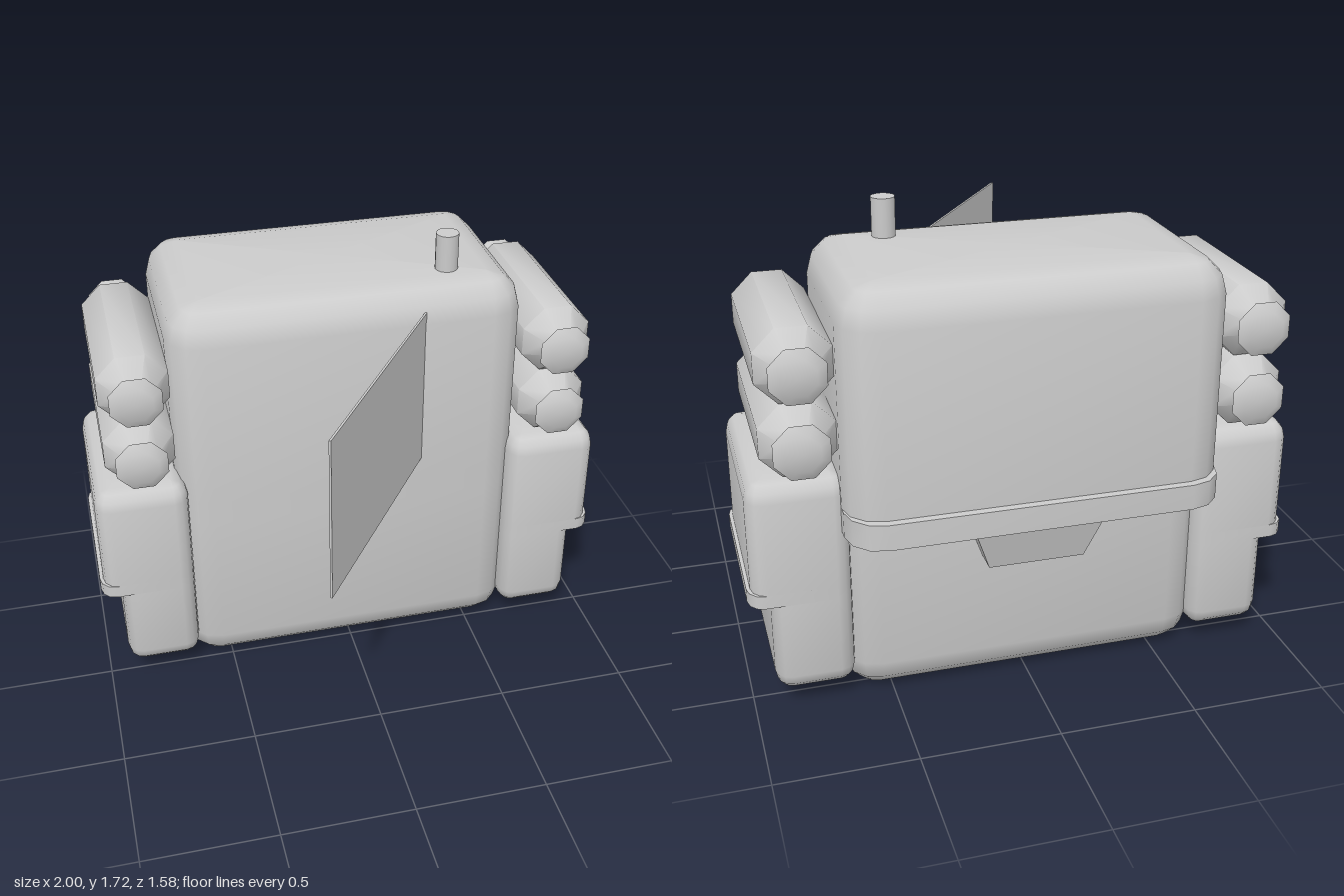
import * as THREE from 'three';
import { toCreasedNormals } from 'three/addons/utils/BufferGeometryUtils.js';

const material = new THREE.MeshStandardMaterial({ color: 0xcccccc });
const thinMaterial = new THREE.MeshStandardMaterial({ color: 0xcccccc, side: THREE.DoubleSide });

function addMesh(parent, name, geometry, mat = material) {
  const mesh = new THREE.Mesh(geometry, mat);
  mesh.name = name;
  parent.add(mesh);
  return mesh;
}

const HALF_WIDTH = 0.67, HEIGHT = 1.575, FRONT = 0.04, RADIUS = 0.13, STEPS = 3;

// One horizontal rounded-rectangle section of the bag
function section(y, back, inset) {
  const points = [];
  const r = Math.max(RADIUS - inset, 0.004);
  const x = HALF_WIDTH - inset - r;
  const z0 = back + inset + r, z1 = FRONT - inset - r;
  const corners = [[x, z1], [-x, z1], [-x, z0], [x, z0]];
  corners.forEach(([cx, cz], k) => {
    for (let i = 0; i <= STEPS; i++) {
      const a = (k + i / STEPS) * Math.PI / 2;
      points.push(new THREE.Vector3(cx + r * Math.cos(a), y, cz + r * Math.sin(a)));
    }
  });
  return points;
}

// Skin closed loops together and cap both ends
function loft(sections) {
  const n = sections[0].length, position = [], index = [];
  sections.flat().forEach(p => position.push(p.x, p.y, p.z));
  for (let s = 0; s < sections.length - 1; s++) {
    for (let i = 0; i < n; i++) {
      const a = s * n + i, b = s * n + (i + 1) % n;
      index.push(a, a + n, b, b, a + n, b + n);
    }
  }
  [0, sections.length - 1].forEach(s => {
    const c = position.length / 3;
    const centre = sections[s].reduce((sum, p) => sum.add(p), new THREE.Vector3()).divideScalar(n);
    position.push(centre.x, centre.y, centre.z);
    for (let i = 0; i < n; i++) {
      const a = s * n + i, b = s * n + (i + 1) % n;
      if (s === 0) index.push(c, a, b);
      else index.push(c, b, a);
    }
  });
  const geometry = new THREE.BufferGeometry();
  geometry.setAttribute('position', new THREE.Float32BufferAttribute(position, 3));
  geometry.setIndex(index);
  return toCreasedNormals(geometry, 0.75);
}

// Bag body: rounded base, overhanging flap with a raised rim, rounded top
function bagGeometry() {
  const lower = -0.61, flap = -0.76, rim = -0.79;
  const sections = [];
  const arc = i => {
    const a = i / STEPS * Math.PI / 2;
    return [RADIUS * (1 - Math.cos(a)), RADIUS * (1 - Math.sin(a))];
  };
  for (let i = 0; i <= STEPS; i++) {
    const [rise, inset] = arc(i);
    sections.push(section(rise, lower, inset));
  }
  [[0.69, lower], [0.69, rim], [0.785, rim], [0.785, flap]]
    .forEach(([y, back]) => sections.push(section(y, back, 0)));
  for (let i = STEPS; i >= 0; i--) {
    const [drop, inset] = arc(i);
    sections.push(section(HEIGHT - drop, flap, inset));
  }
  return loft(sections);
}

// Tapered closure tab under the flap
function tabGeometry() {
  const geometry = new THREE.BoxGeometry(1, 1, 1);
  const p = geometry.attributes.position;
  for (let i = 0; i < p.count; i++) {
    const top = p.getY(i) > 0, outer = p.getZ(i) < 0;
    p.setXYZ(i,
      Math.sign(p.getX(i)) * (top ? 0.24 : 0.173),
      top ? 0.7 : 0.515,
      outer ? (top ? -0.745 : -0.695) : -0.58);
  }
  geometry.computeVertexNormals();
  return geometry;
}

function createBag(name) {
  const bag = new THREE.Group();
  bag.name = name;
  addMesh(bag, 'bagBody', bagGeometry());
  addMesh(bag, 'closureTab', tabGeometry());
  return bag;
}

// Eight-sided roll with pinched, flared ends, lying along z
function rollGeometry() {
  const half = [[0, 0.428], [0.06, 0.428], [0.095, 0.405], [0.065, 0.377], [0.13, 0.3]];
  const k = 1 / Math.cos(Math.PI / 8);
  const profile = [
    ...half.map(([r, y]) => new THREE.Vector2(r * k, -y)),
    ...half.slice().reverse().map(([r, y]) => new THREE.Vector2(r * k, y)),
  ];
  const geometry = new THREE.LatheGeometry(profile, 8, Math.PI / 8);
  geometry.rotateX(Math.PI / 2);
  return toCreasedNormals(geometry, 0.87);
}

export function createModel() {
  const model = new THREE.Group();
  model.name = 'backpack';
  model.add(createBag('mainBag'));

  // Side pockets repeat the main bag, smaller and turned outward
  for (const side of [1, -1]) {
    const label = side > 0 ? 'left' : 'right';
    const pocket = createBag(label + 'Pocket');
    pocket.scale.set(0.52, 0.52, 0.44);
    pocket.rotation.y = -side * Math.PI / 2;
    pocket.position.set(side * 0.653, 0.075, -0.275);
    model.add(pocket);

    // Two stacked rolls above each pocket
    [['Upper', 1.305], ['Lower', 1.042]].forEach(([level, y]) => {
      addMesh(model, label + level + 'Roll', rollGeometry())
        .position.set(side * 0.8, y, -0.298);
    });
  }

  // Short tube on top
  addMesh(model, 'topTube', new THREE.CylinderGeometry(0.043, 0.043, 0.2, 16))
    .position.set(0.402, 1.615, -0.145);

  // Thin upright panel standing out from the front
  const panel = addMesh(model, 'panel', new THREE.BoxGeometry(0.93, 0.625, 0.008), thinMaterial);
  panel.position.set(0.008, 1.178, 0.41);
  panel.rotation.y = Math.atan2(0.76, 0.535);

  return model;
}
